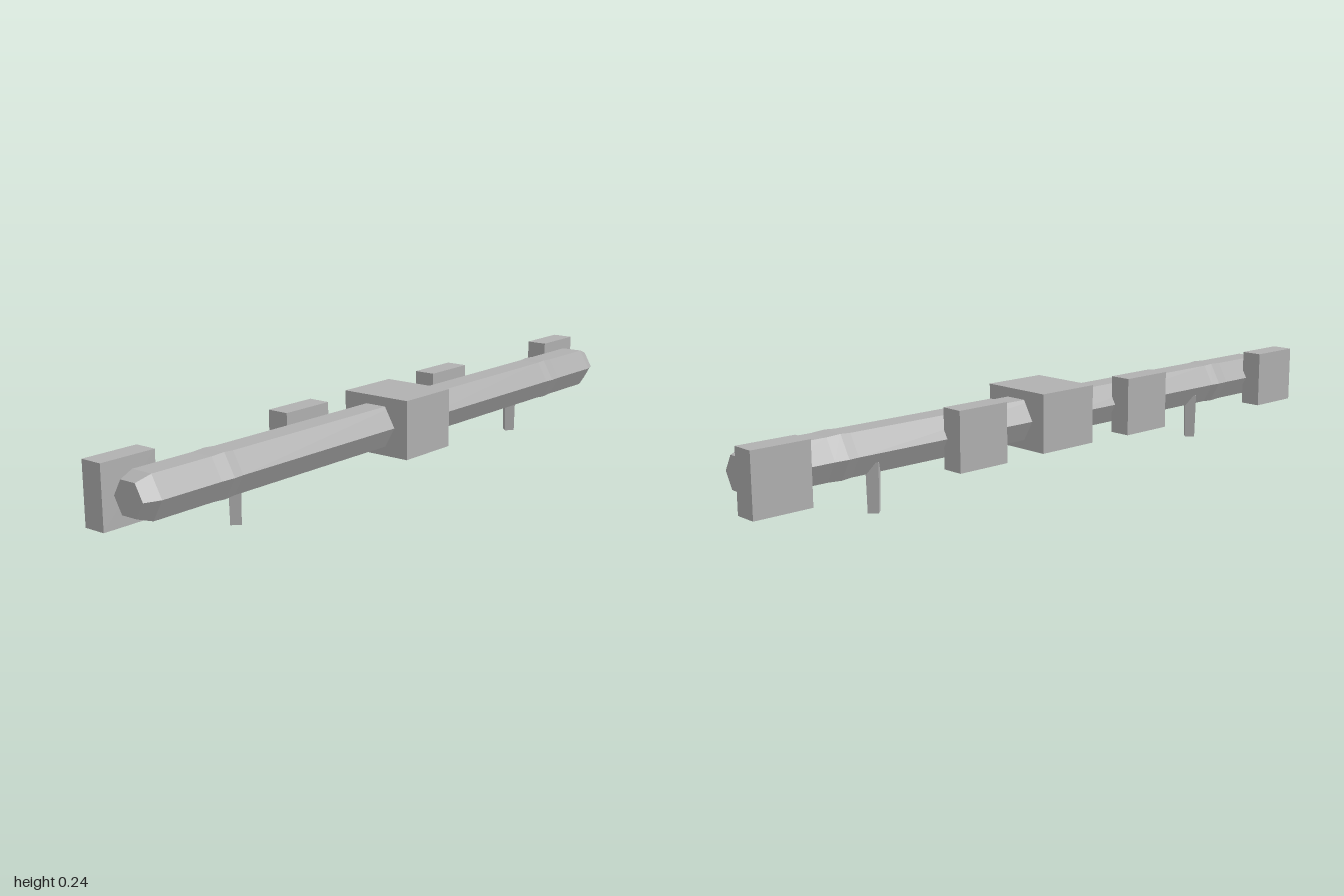
import * as THREE from 'three';

export function createModel() {
  const model = new THREE.Group();
  const grey = new THREE.MeshStandardMaterial({ color: 0xb0b0b0 });
  const BAR_Y = 0.156, BAR_Z = 0.0037;

  function add(name, geometry, x, y, z) {
    const mesh = new THREE.Mesh(geometry, grey);
    mesh.name = name;
    mesh.position.set(x, y, z);
    model.add(mesh);
    return mesh;
  }

  // Hexagonal bar along x: sections of [x, radius], slightly swollen at the joints
  const half = [[0, 0.0645], [0.67, 0.0645], [0.7, 0.067], [0.74, 0.0645], [0.925, 0.0645], [0.967, 0.0485]];
  const sections = [...half.slice(1).reverse().map(([x, r]) => [-x, r]), ...half];
  const profile = [[-0.967, 0], ...sections, [0.967, 0]].map(([x, r]) => new THREE.Vector2(r, x));
  const bar = new THREE.LatheGeometry(profile, 6).toNonIndexed();
  bar.computeVertexNormals();
  // Corners of the hexagon point to the front and back
  bar.rotateZ(-Math.PI / 2);
  add('bar', bar, 0, BAR_Y, BAR_Z);

  // Block around the middle of the bar
  add('centreBlock', new THREE.BoxGeometry(0.19, 0.163, 0.214), 0, BAR_Y, BAR_Z);

  for (const side of [-1, 1]) {
    const label = side > 0 ? 'left' : 'right';

    // Plates along the back
    add(label + 'InnerPlate', new THREE.BoxGeometry(0.161, 0.163, 0.063), side * 0.3125, BAR_Y, -0.0788);
    add(label + 'OuterPlate', new THREE.BoxGeometry(0.161, 0.163, 0.063), side * 0.9195, BAR_Y, -0.0788);

    // Tapered four-sided peg under the bar
    const peg = new THREE.CylinderGeometry(0.0235, 0.02, 0.13, 4).toNonIndexed();
    peg.computeVertexNormals();
    add(label + 'Peg', peg, side * 0.605, 0.065, -0.0275);
  }

  return model;
}
